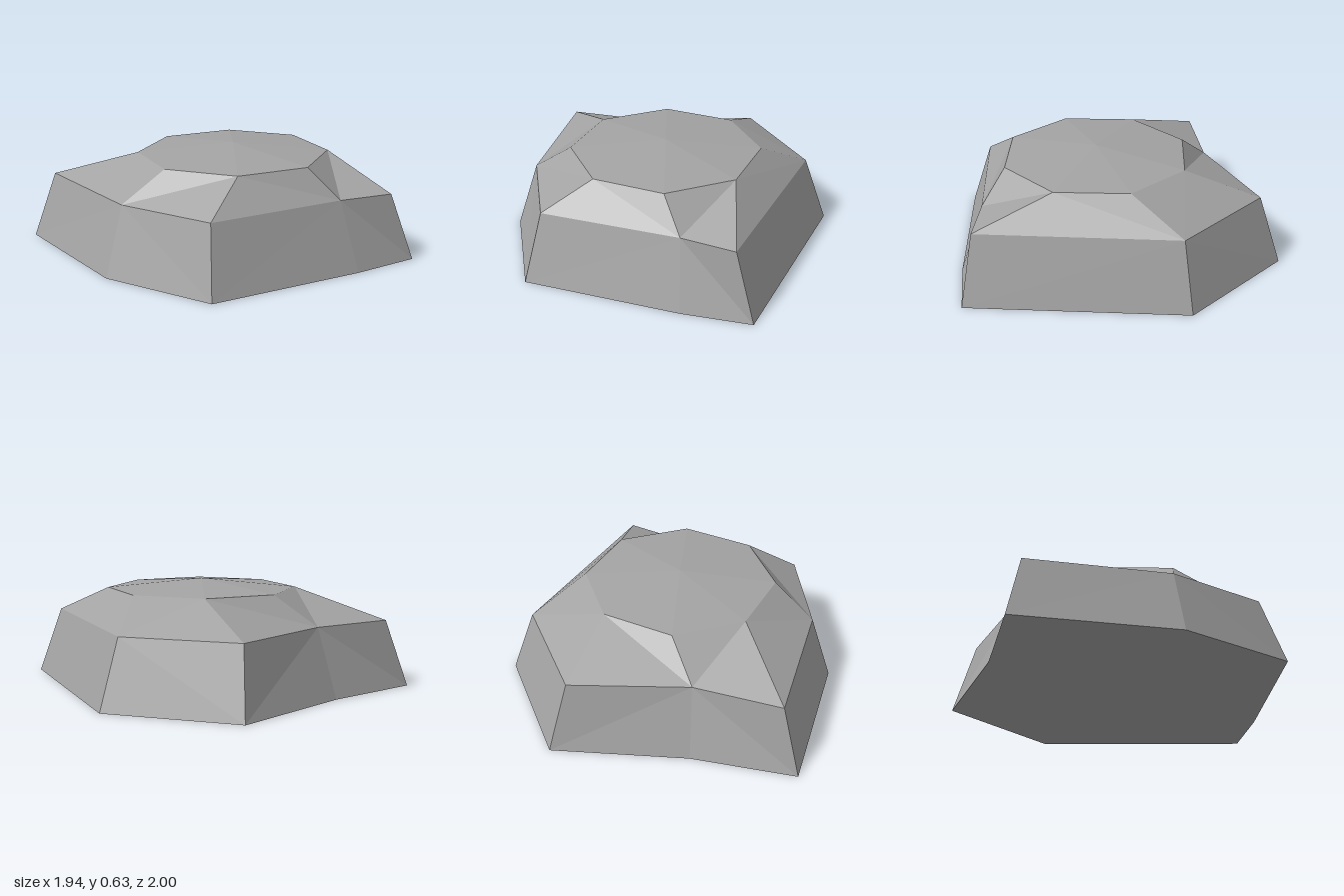
import * as THREE from 'three';

// Eight-sided cross-sections of the boulder, [x, z] going round from +x towards +z
const foot = [[0.97, -0.18], [0.45, 1], [0.05, 0.9], [-0.84, 0.6], [-0.97, -0.09], [-0.77, -1], [-0.17, -0.91], [0.62, -0.91]];
const shoulder = [[0.83, -0.18], [0.35, 0.9], [0.05, 0.76], [-0.74, 0.5], [-0.84, -0.09], [-0.67, -0.9], [-0.17, -0.77], [0.52, -0.81]];
const centre = [-0.04, 0.02];
const crown = foot.map((_, i) => {
  const a = (i * Math.PI) / 4;
  return [centre[0] + 0.57 * Math.cos(a), centre[1] + 0.57 * Math.sin(a)];
});

const atHeight = (ring, y) => ring.map(([x, z]) => [x, y, z]);

// Joins two rings; the diagonals zigzag, starting from lower corners of the given parity
function band(out, low, high, parity) {
  low.forEach((a, i) => {
    const j = (i + 1) % low.length;
    const b = low[j], c = high[i], d = high[j];
    if (i % 2 === parity) out.push(b, a, d, a, c, d);
    else out.push(b, a, c, b, c, d);
  });
}

// Closes a ring with a fan to one point
function fan(out, ring, tip, up) {
  ring.forEach((a, i) => {
    const b = ring[(i + 1) % ring.length];
    if (up) out.push(tip, b, a);
    else out.push(tip, a, b);
  });
}

function mesh(name, corners, material) {
  const geometry = new THREE.BufferGeometry();
  geometry.setAttribute('position', new THREE.Float32BufferAttribute(corners.flat(), 3));
  geometry.computeVertexNormals();
  const m = new THREE.Mesh(geometry, material);
  m.name = name;
  return m;
}

export function createModel() {
  const stone = new THREE.MeshStandardMaterial({ color: 0xa3a3a3 });
  stone.name = 'grey stone';
  stone.flatShading = true;

  const low = atHeight(foot, 0);
  const mid = atHeight(shoulder, 0.4);
  const high = atHeight(crown, 0.58);

  const sides = [], slopes = [], cap = [], underside = [];
  band(sides, low, mid, 1);
  band(slopes, mid, high, 0);
  fan(cap, high, [centre[0], 0.635, centre[1]], true);
  fan(underside, low, [0, 0, 0], false);

  const boulder = new THREE.Group();
  boulder.name = 'boulder';
  boulder.add(
    mesh('sides', sides, stone),
    mesh('upperSlopes', slopes, stone),
    mesh('cap', cap, stone),
    mesh('underside', underside, stone),
  );
  return boulder;
}
